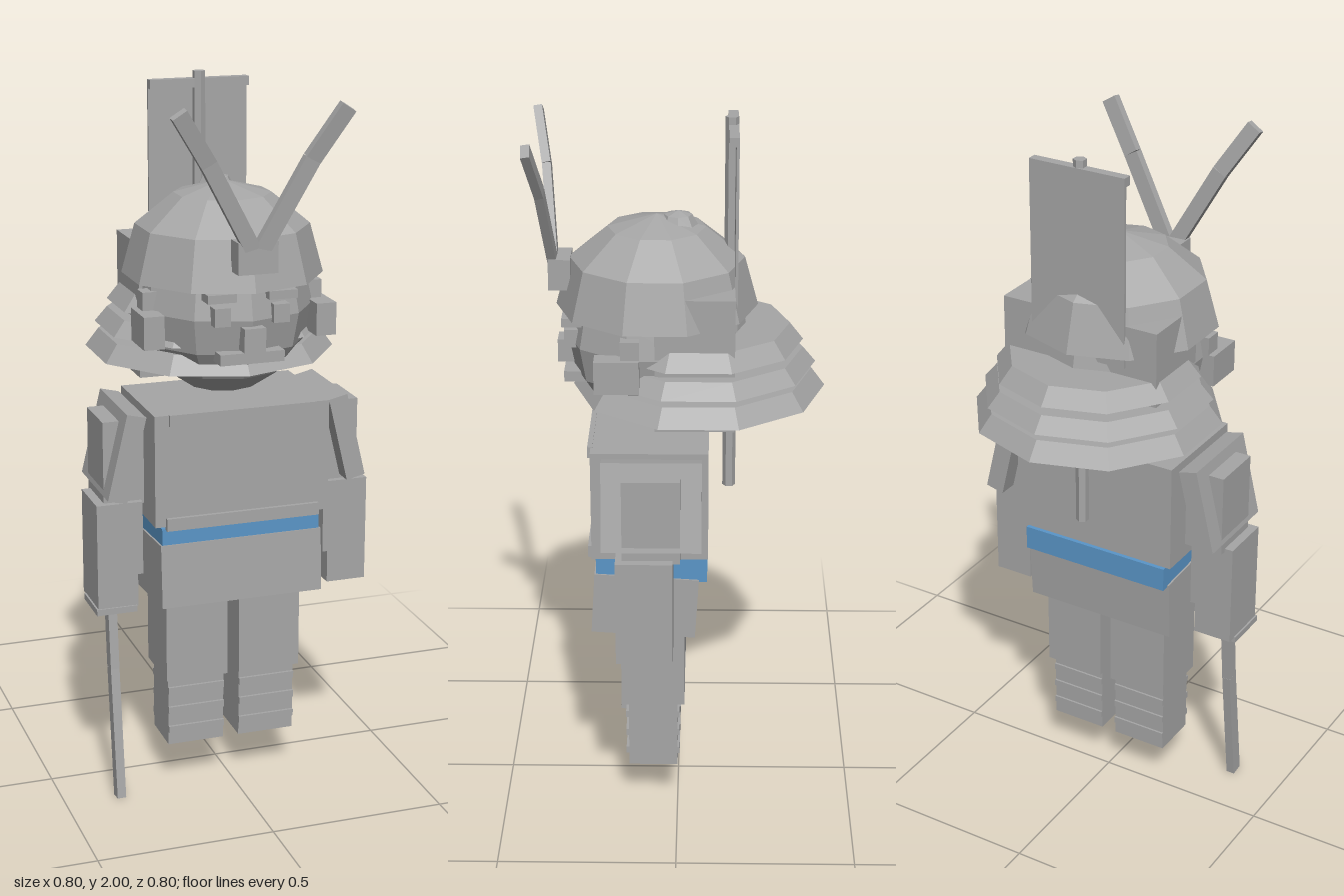
import * as THREE from 'three';

const armour = new THREE.MeshStandardMaterial({ color: 0xa6a6a6 });
armour.name = 'grey';
const sash = new THREE.MeshStandardMaterial({ color: 0x5a96c8 });
sash.name = 'blue';

export function createModel() {
  const model = new THREE.Group();
  model.name = 'armouredWarrior';

  // Adds a flat-shaded mesh
  function add(name, geometry, x = 0, y = 0, z = 0, material = armour) {
    const flat = geometry.index ? geometry.toNonIndexed() : geometry;
    flat.computeVertexNormals();
    const mesh = new THREE.Mesh(flat, material);
    mesh.name = name;
    mesh.position.set(x, y, z);
    model.add(mesh);
    return mesh;
  }

  // Box given by its minimum and maximum on each axis
  function box(name, [x0, x1], [y0, y1], [z0, z1], material = armour) {
    return add(name, new THREE.BoxGeometry(x1 - x0, y1 - y0, z1 - z0),
      (x0 + x1) / 2, (y0 + y1) / 2, (z0 + z1) / 2, material);
  }

  // Box on one side: a and b are distances from the middle
  function sideBox(name, side, a, b, y, z) {
    return box(name, side > 0 ? [a, b] : [-b, -a], y, z);
  }

  // Square bar between two points
  function bar(name, from, to, width, depth) {
    const a = new THREE.Vector3(...from), b = new THREE.Vector3(...to);
    const d = b.clone().sub(a);
    const mid = a.add(b).multiplyScalar(0.5);
    const mesh = add(name, new THREE.BoxGeometry(width, d.length(), depth), mid.x, mid.y, mid.z);
    mesh.quaternion.setFromUnitVectors(new THREE.Vector3(0, 1, 0), d.normalize());
    return mesh;
  }

  // Torso, belt and skirt
  box('chestArmour', [-0.25, 0.25], [0.825, 1.14], [-0.085, 0.235]);
  box('chestTopTrim', [-0.21, 0.21], [1.11, 1.142], [0.23, 0.244]);
  box('chestBottomTrim', [-0.22, 0.22], [0.815, 0.85], [0.23, 0.246]);
  box('belt', [-0.228, 0.228], [0.745, 0.815], [-0.083, 0.225], sash);
  box('skirt', [-0.233, 0.233], [0.58, 0.76], [-0.055, 0.235]).rotation.x = -0.06;

  for (const side of [-1, 1]) {
    // Legs with shin slats
    sideBox('thigh', side, 0.017, 0.198, [0.333, 0.6], [-0.02, 0.16]);
    sideBox('shin', side, 0.023, 0.188, [0.127, 0.34], [0, 0.14]);
    for (const y of [0.165, 0.225, 0.285]) {
      sideBox('shinSlat', side, 0.023, 0.188, [y, y + 0.02], [-0.006, 0.148]);
    }

    // Arms and tilted shoulder plates
    sideBox('upperArm', side, 0.255, 0.37, [0.87, 1.11], [-0.01, 0.147]);
    sideBox('forearm', side, 0.265, 0.395, [0.67, 0.88], [0.01, 0.165]);
    sideBox('hand', side, 0.28, 0.395, [0.577, 0.68], [0.01, 0.165]);
    const plate = add('shoulderPlate', new THREE.BoxGeometry(0.055, 0.245, 0.27), side * 0.318, 1.017, 0.068);
    plate.rotation.z = side * 0.235;

    // Face and cheek guards
    sideBox('eye', side, 0.06, 0.105, [1.39, 1.44], [0.25, 0.307]);
    sideBox('eyebrow', side, 0.045, 0.125, [1.455, 1.478], [0.24, 0.312]);
    sideBox('cheekGuard', side, 0.215, 0.255, [1.33, 1.46], [0.1, 0.15]);
    sideBox('cheekGuard', side, 0.215, 0.272, [1.32, 1.41], [0.1, 0.22]);

    // Crest horns
    const bend = [side * 0.14, 1.83, 0.36];
    bar('crestHorn', [side * 0.008, 1.59, 0.337], bend, 0.044, 0.024);
    bar('crestHorn', bend, [side * 0.227, 1.965, 0.386], 0.044, 0.024);
  }
  box('nose', [-0.03, 0.03], [1.32, 1.385], [0.26, 0.33]);
  box('mouth', [-0.09, 0.09], [1.285, 1.315], [0.24, 0.31]);
  box('crestPlate', [-0.055, 0.055], [1.535, 1.62], [0.29, 0.35]);

  // Head and the block behind it
  add('head', new THREE.SphereGeometry(0.25, 10, 8, Math.PI / 2), 0, 1.4, 0.06);
  box('backOfHead', [-0.237, 0.237], [1.2, 1.57], [-0.153, 0.06]);

  // Helmet dome with knob
  const dome = [[0, 1.48], [0.275, 1.48], [0.238, 1.615], [0.133, 1.7], [0, 1.735]];
  add('helmetDome', new THREE.LatheGeometry(dome.map(p => new THREE.Vector2(...p)), 10), 0, 0, 0.058);
  add('helmetKnob', new THREE.SphereGeometry(0.053, 8, 4), 0, 1.705, 0).scale.y = 0.75;

  // Stepped neck guard: upper radius, lower radius, bottom, top
  for (const [r1, r2, y0, y1] of [
    [0.31, 0.347, 1.245, 1.295],
    [0.285, 0.32, 1.315, 1.357],
    [0.248, 0.285, 1.38, 1.427],
  ]) {
    add('neckGuardTier', new THREE.CylinderGeometry(r1, r2, y1 - y0, 10), 0, (y0 + y1) / 2, -0.057);
  }

  // Back banner
  add('bannerPole', new THREE.CylinderGeometry(0.018, 0.018, 1.06, 6), 0, 1.47, -0.142);
  box('bannerCrossbar', [-0.143, 0.143], [1.955, 1.98], [-0.16, -0.133]);
  box('bannerCloth', [-0.143, 0.143], [1.45, 1.97], [-0.16, -0.152]);

  // Curved sword held in the right hand
  box('swordGuard', [-0.4, -0.285], [0.562, 0.58], [0.035, 0.17]);
  box('swordCollar', [-0.365, -0.32], [0.545, 0.565], [0.07, 0.125]);
  const blade = [[0.56, 0.1], [0.38, 0.118], [0.19, 0.143], [0.003, 0.168]];
  for (let i = 0; i < blade.length - 1; i++) {
    bar('swordBlade', [-0.342, ...blade[i]], [-0.342, ...blade[i + 1]], 0.025, 0.038);
  }
  return model;
}
